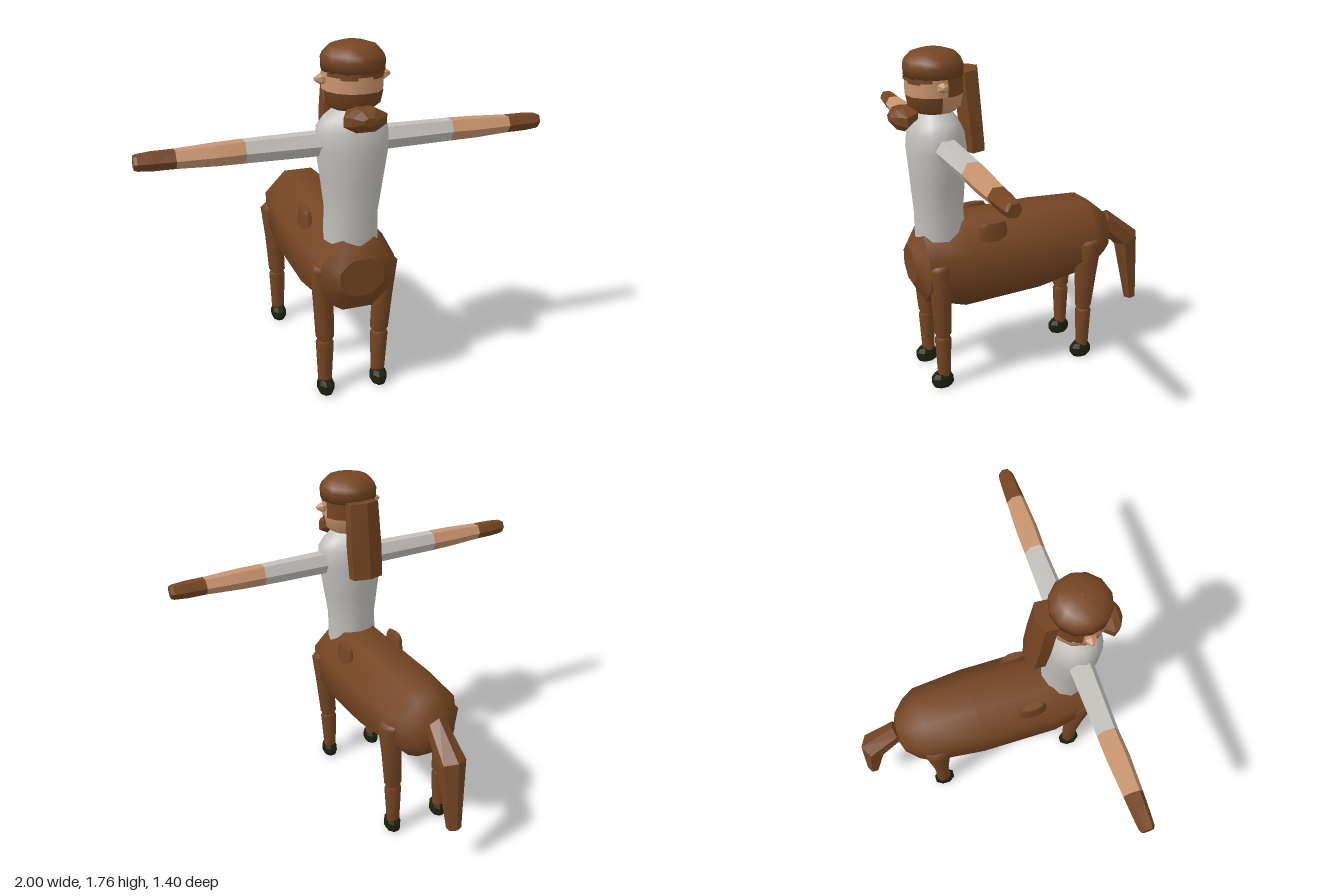
import * as THREE from 'three';

const mat = (name, color) => {
  const m = new THREE.MeshStandardMaterial({ color });
  m.name = name;
  return m;
};

// Skin over rings [cx,cy,cz, a(3), b(3)]; a x b points along the loft
function loft(rings, n, { flat = false, half = false, caps = true } = {}) {
  const pos = [], idx = [];
  const off = half ? Math.PI / n : 0;
  const addRing = (r) => {
    for (let j = 0; j < n; j++) {
      const t = off + (j / n) * Math.PI * 2, c = Math.cos(t), s = Math.sin(t);
      for (let k = 0; k < 3; k++) pos.push(r[k] + r[3 + k] * c + r[6 + k] * s);
    }
  };
  rings.forEach(addRing);
  for (let i = 0; i < rings.length - 1; i++) {
    for (let j = 0; j < n; j++) {
      const a = i * n + j, b = i * n + (j + 1) % n;
      idx.push(a, b, b + n, a, b + n, a + n);
    }
  }
  if (caps) {
    [rings[0], rings[rings.length - 1]].forEach((r, e) => {
      const base = pos.length / 3;
      addRing(r);
      for (let j = 1; j < n - 1; j++) {
        if (e) idx.push(base, base + j, base + j + 1);
        else idx.push(base, base + j + 1, base + j);
      }
    });
  }
  let g = new THREE.BufferGeometry();
  g.setAttribute('position', new THREE.Float32BufferAttribute(pos, 3));
  g.setIndex(idx);
  if (flat) g = g.toNonIndexed();
  g.computeVertexNormals();
  return g;
}

// Axis-aligned rings
const ringX = (x, cy, cz, ry, rz) => [x, cy, cz, 0, ry, 0, 0, 0, rz];
const ringY = (y, cx, cz, rx, rz) => [cx, y, cz, 0, 0, rz, rx, 0, 0];
const ringZ = (z, cy, rx, ry) => [0, cy, z, rx, 0, 0, 0, ry, 0];

// Mirror across x and restore the winding
function mirrored(geo) {
  const g = geo.index ? geo.toNonIndexed() : geo.clone();
  for (const name of ['position', 'normal']) {
    const at = g.attributes[name];
    for (let i = 0; i < at.count; i += 3) {
      const v = [0, 2, 1].map((k) => [-at.getX(i + k), at.getY(i + k), at.getZ(i + k)]);
      v.forEach((p, k) => at.setXYZ(i + k, ...p));
    }
  }
  return g;
}

export function createModel() {
  const model = new THREE.Group();
  const brown = mat('brown coat and hair', 0x754522);
  const skin = mat('skin', 0xc8946e);
  const shirt = mat('shirt grey', 0xc2c0bb);
  const hoofMat = mat('hoof', 0x1d210d);
  const shellBrown = brown;

  const add = (name, geo, material) => {
    const m = new THREE.Mesh(geo, material);
    m.name = name;
    model.add(m);
    return m;
  };
  const addPair = (name, geo, material) => {
    add('left' + name, geo, material);
    add('right' + name, mirrored(geo), material);
  };

  // Horse barrel: [z, bottom, top, half width]
  const bodyRings = [
    [-0.49, 0.66, 0.70, 0.02], [-0.46, 0.565, 0.785, 0.1], [-0.4, 0.52, 0.84, 0.155],
    [-0.33, 0.49, 0.885, 0.19], [-0.05, 0.44, 0.893, 0.215], [0.37, 0.415, 0.885, 0.215],
    [0.58, 0.476, 0.835, 0.185],
  ].map(([z, lo, hi, w]) => ringZ(z, (lo + hi) / 2, w / 0.924, (hi - lo) / 2 / 0.924));
  add('horseBody', loft(bodyRings, 8, { half: true }), brown);
  add('chest', loft([bodyRings[6], ringZ(0.635, 0.66, 0.12, 0.1)], 8, { half: true }), brown);

  // Stumps on the back
  addPair('BackStump', loft([
    ringY(0.74, 0.15, 0.24, 0.035, 0.088), ringY(0.8, 0.15, 0.24, 0.03, 0.086),
    ringY(0.865, 0.152, 0.238, 0.024, 0.075), ringY(0.885, 0.152, 0.236, 0.02, 0.062),
  ], 10), brown);

  // Tail
  add('tail', loft([
    [0, 0.725, -0.475, 0, -0.06, 0.02, 0.055, 0, 0],
    [0, 0.603, -0.618, 0, -0.028, 0.068, 0.075, 0, 0],
    [0, 0.225, -0.665, 0, -0.005, 0.035, 0.04, 0, 0],
  ].map((r) => [...r.slice(0, 3), ...r.slice(6), ...r.slice(3, 6).map((v) => -v)])
    .map((r) => [...r.slice(0, 3), ...r.slice(6), ...r.slice(3, 6).map((v) => -v)])
    .map((r) => [...r.slice(0, 3), ...r.slice(3, 6), ...r.slice(6).map(Math.abs)]),
  6, { flat: true }), brown);

  // Legs: [name, z at hip, z at foot, hip x, hip radius x, hip radius z]
  for (const [name, hipZ, z, hipX, rx, rz] of [
    ['Front', 0.528, 0.518, 0.168, 0.055, 0.058],
    ['Rear', -0.298, -0.288, 0.165, 0.062, 0.075],
  ]) {
    addPair(name + 'Thigh', loft([
      ringY(0.295, 0.145, z, 0.036, 0.034), ringY(0.31, 0.145, z, 0.046, 0.043),
      ringY(0.5, 0.155, (z + hipZ) / 2, 0.05, (rz + 0.043) / 2),
      ringY(0.685, hipX, hipZ, rx, rz), ringY(0.705, hipX - 0.01, hipZ, rx * 0.75, rz * 0.9),
    ], 8, { half: true }), brown);
    addPair(name + 'Shin', loft([
      ringY(0.05, 0.143, z, 0.034, 0.032), ringY(0.28, 0.145, z, 0.045, 0.043),
      ringY(0.3, 0.145, z, 0.036, 0.034),
    ], 8, { half: true }), brown);
    addPair(name + 'Hoof', loft([
      ringY(0, 0.143, z + 0.01, 0.034, 0.048), ringY(0.018, 0.143, z + 0.01, 0.041, 0.06),
      ringY(0.052, 0.143, z + 0.01, 0.041, 0.06), ringY(0.076, 0.143, z + 0.008, 0.032, 0.044),
    ], 8, { half: true, flat: true }), hoofMat);
  }

  // Shirt torso: [y, half width, back z, front z]
  add('torso', loft([
    [0.81, 0.135, 0.34, 0.6], [0.95, 0.13, 0.345, 0.6], [1.1, 0.152, 0.335, 0.612],
    [1.27, 0.178, 0.322, 0.623], [1.36, 0.176, 0.335, 0.61], [1.41, 0.14, 0.36, 0.588],
    [1.455, 0.085, 0.395, 0.56],
  ].map(([y, w, b, f]) => ringY(y, 0, (b + f) / 2, w, (f - b) / 2)), 12), shirt);

  // Arms, hexagonal and stretched sideways
  const armRings = (list) => loft(
    list.map(([x, hy, hz, cz]) => ringX(x, 1.291, cz, hy / 0.866, hz)), 6, { half: true, flat: true });
  addPair('Sleeve', armRings([[0.16, 0.053, 0.062, 0.462], [0.51, 0.05, 0.054, 0.46]]), shirt);
  addPair('Forearm', armRings([
    [0.51, 0.05, 0.054, 0.46], [0.64, 0.047, 0.056, 0.463], [0.82, 0.039, 0.048, 0.465],
  ]), skin);
  addPair('Hand', armRings([
    [0.82, 0.039, 0.048, 0.465], [0.92, 0.039, 0.043, 0.465], [0.985, 0.034, 0.038, 0.465], [1, 0.029, 0.03, 0.464],
  ]), brown);

  // Head bands; the angle is measured from the face
  const band = (name, pts, from, to, material, seg = 6) => {
    const g = new THREE.LatheGeometry(pts.map((p) => new THREE.Vector2(...p)), seg, from, to - from);
    add(name, g, material).position.z = 0.472;
  };
  const Q = Math.PI / 2, S = 1.78;
  const jaw = [[0.001, 1.43], [0.1, 1.455], [0.13, 1.48], [0.142, 1.542]];
  const face = [[0.142, 1.542], [0.142, 1.64]];
  band('jawBeard', jaw, -Q, Q, brown);
  band('nape', jaw, Q, 3 * Q, skin);
  band('face', face, -S, S, skin, 8);
  band('backHair', face, S, Math.PI * 2 - S, brown, 6);
  band('hairCap', [
    [0.001, 1.628], [0.147, 1.628], [0.15, 1.68], [0.14, 1.705], [0.108, 1.738], [0.055, 1.754], [0.001, 1.756],
  ], 0, Math.PI * 2, shellBrown, 12);

  // Ragged fringe
  [[-1.25, -0.75, 1.612], [-0.75, -0.2, 1.602], [-0.2, 0.3, 1.616], [0.3, 0.85, 1.604], [0.85, 1.25, 1.612]]
    .forEach(([a, b, y], i) => band('fringe' + (i + 1), [[0.145, y], [0.145, 1.632]], a, b, brown, 2));

  // Ears
  addPair('Ear', loft([
    ringX(0.125, 1.59, 0.475, 0.022, 0.025), ringX(0.155, 1.594, 0.472, 0.026, 0.03),
    ringX(0.182, 1.595, 0.472, 0.009, 0.01),
  ], 6, { flat: true }), skin);

  // Chin beard
  add('chinBeard', loft([
    ringZ(0.575, 1.453, 0.075, 0.036), ringZ(0.635, 1.431, 0.112, 0.06),
    ringZ(0.672, 1.435, 0.085, 0.052), ringZ(0.698, 1.437, 0.035, 0.02),
  ], 8, { half: true, flat: true }), brown);

  // Long hair hanging behind the head
  add('ponytail', loft([
    [0, 1.24, 0.278, 0, -0.009, 0.06, 0.095, 0, 0],
    [0, 1.4, 0.292, 0, -0.009, 0.062, 0.1, 0, 0],
    [0, 1.645, 0.311, 0, -0.01, 0.062, 0.09, 0, 0],
  ], 6, { flat: true }), brown);

  return model;
}
